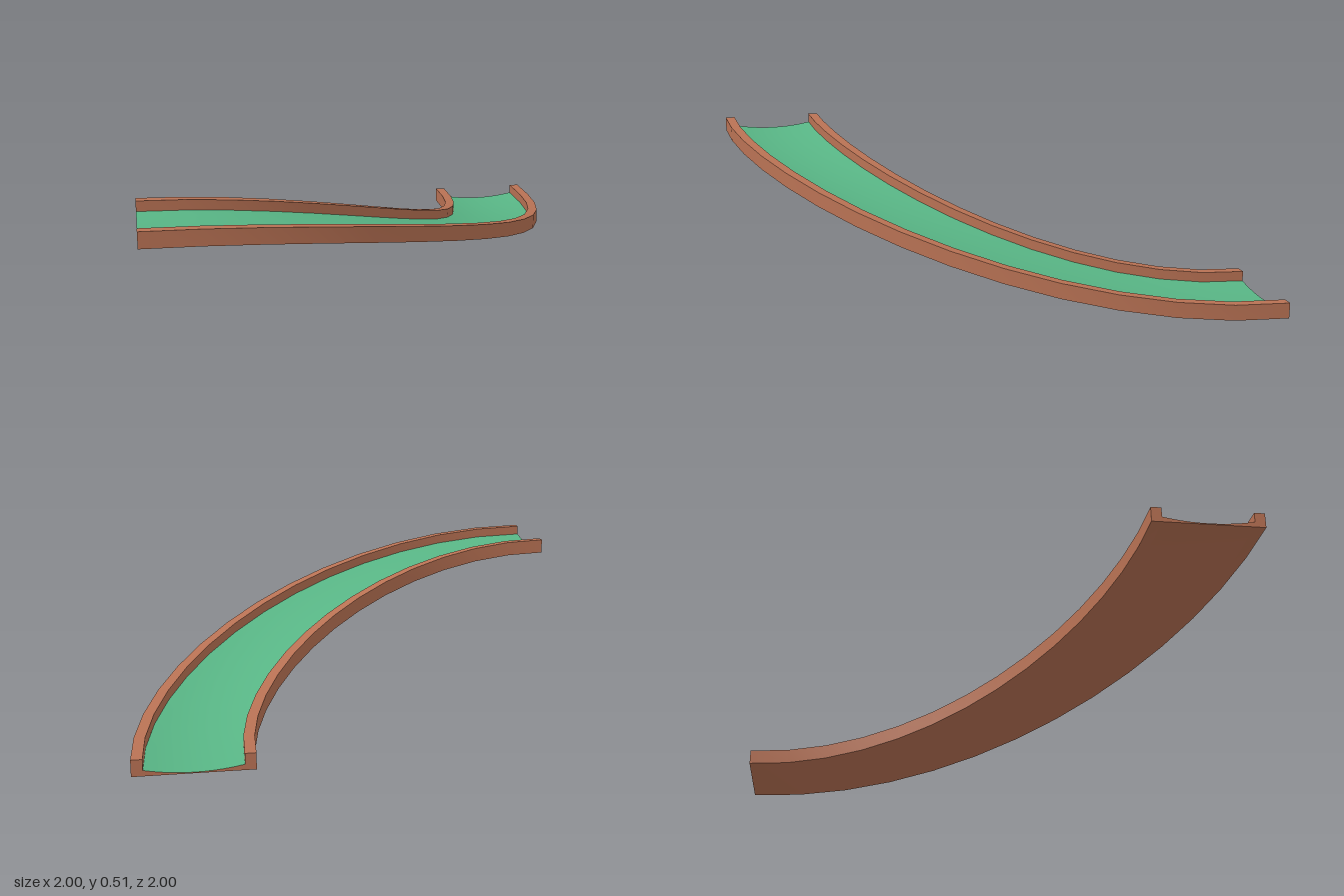
import * as THREE from 'three';

const SEGMENTS = 14;
const DROP = 0.447;
const INNER = 1.555, OUTER = 2, CURB = 0.042, CURB_HEIGHT = 0.063;
const FLOOR_EDGE = 0.022, FLOOR_MID = 0.004;

// Point on the quarter-turn ramp: radius r, height h above the underside, station s.
function place(r, h, s) {
  const t = s / SEGMENTS, a = t * Math.PI / 2;
  const rise = DROP * (1 - t * t * (3 - 2 * t));
  return [-1 + r * Math.sin(a), h + rise, -1 + r * Math.cos(a)];
}

// Sweeps open strips [[r, h], ...] along the turn; each strip is smooth, and
// strips meet in sharp edges. An optional anticlockwise outline closes both ends.
function sweep(strips, outline) {
  const positions = [], indices = [];
  for (const strip of strips) {
    const start = positions.length / 3, n = strip.length;
    for (let s = 0; s <= SEGMENTS; s++) {
      for (const [r, h] of strip) positions.push(...place(r, h, s));
    }
    for (let s = 0; s < SEGMENTS; s++) {
      for (let i = 0; i < n - 1; i++) {
        const a = start + s * n + i, b = a + n;
        indices.push(a, b, a + 1, a + 1, b, b + 1);
      }
    }
  }
  if (outline) {
    const faces = THREE.ShapeUtils.triangulateShape(outline.map(p => new THREE.Vector2(...p)), []);
    for (const s of [0, SEGMENTS]) {
      const start = positions.length / 3;
      for (const [r, h] of outline) positions.push(...place(r, h, s));
      for (const [a, b, c] of faces) {
        if (s === 0) indices.push(start + a, start + b, start + c);
        else indices.push(start + a, start + c, start + b);
      }
    }
  }
  const geometry = new THREE.BufferGeometry();
  geometry.setAttribute('position', new THREE.Float32BufferAttribute(positions, 3));
  geometry.setIndex(indices);
  geometry.computeVertexNormals();
  return geometry;
}

export function createModel() {
  const group = new THREE.Group();
  group.name = 'curvedRamp';
  const brick = new THREE.MeshStandardMaterial({ color: 0xb97254 });
  brick.name = 'brick';
  const green = new THREE.MeshStandardMaterial({ color: 0x58b585 });
  green.name = 'green';

  const add = (name, geometry, material) => {
    const mesh = new THREE.Mesh(geometry, material);
    mesh.name = name;
    group.add(mesh);
  };

  // Raised curbs along both sides
  const curb = (r0, r1) => {
    const box = [[r0, 0], [r1, 0], [r1, CURB_HEIGHT], [r0, CURB_HEIGHT]];
    return sweep(box.map((p, i) => [p, box[(i + 1) % 4]]), box);
  };
  add('innerCurb', curb(INNER, INNER + CURB), brick);
  add('outerCurb', curb(OUTER - CURB, OUTER), brick);

  // Dished running surface, from the outer curb to the inner one
  const left = INNER + CURB, right = OUTER - CURB, steps = 10;
  const dish = [];
  for (let i = 0; i <= steps; i++) {
    const u = 1 - 2 * i / steps;
    dish.push([(left + right) / 2 + u * (right - left) / 2, FLOOR_MID + (FLOOR_EDGE - FLOOR_MID) * u * u]);
  }
  add('floor', sweep([dish]), green);

  // Flat underside with its end faces below the dish
  const bottom = [[left, 0], [right, 0]];
  add('base', sweep([bottom], [...bottom, ...dish]), brick);

  return group;
}
